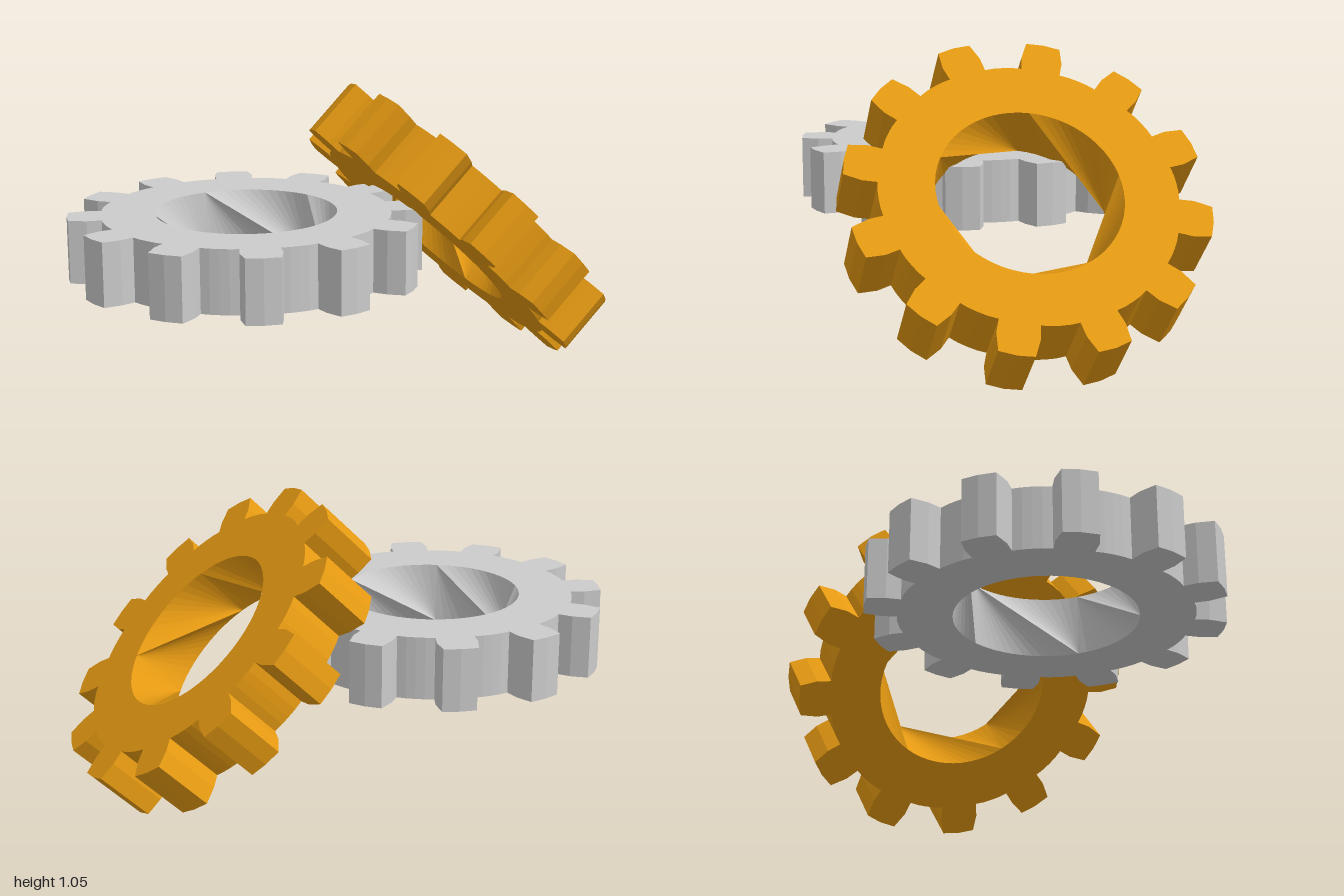
import * as THREE from 'three';

const TEETH = 12, HALF = 0.115, BORE = 0.328;
const BORE_SIDES = 5, BORE_STEPS = 12, BORE_START = 26;

const polar = (r, deg) => {
  const a = THREE.MathUtils.degToRad(deg);
  return new THREE.Vector2(r * Math.cos(a), r * Math.sin(a));
};

// Half of one tooth's profile: [radius, degrees from the tooth's centre line]
const toothHalf = [[0.522, -7.6], [0.575, -7.3], [0.638, -5.5]];

function gearOutline() {
  const pts = [];
  for (let i = 0; i < TEETH; i++) {
    const c = 15 + i * 360 / TEETH;
    toothHalf.forEach(([r, d]) => pts.push(polar(r, c + d)));
    pts.push(polar(0.641, c));
    [...toothHalf].reverse().forEach(([r, d]) => pts.push(polar(r, c - d)));
    // root arc between two teeth
    for (const d of [11.3, 15, 18.7]) pts.push(polar(0.524, c + d));
  }
  return pts;
}

// Gear lying flat, its axis along y
function gearGeometry() {
  const pos = [];
  const tri = (...corners) => corners.forEach(([p, z]) => pos.push(p.x, p.y, z));
  const outline = gearOutline();
  const n = BORE_SIDES * BORE_STEPS;
  const bore = Array.from({ length: n }, (_, i) => polar(BORE, BORE_START + i * 360 / n));

  // top and bottom faces with a round opening
  const hole = [...bore].reverse();
  const all = [...outline, ...hole];
  for (const [a, b, c] of THREE.ShapeUtils.triangulateShape(outline, [hole])) {
    tri([all[a], HALF], [all[b], HALF], [all[c], HALF]);
    tri([all[c], -HALF], [all[b], -HALF], [all[a], -HALF]);
  }

  // toothed rim
  outline.forEach((p, i) => {
    const q = outline[(i + 1) % outline.length];
    tri([p, -HALF], [q, -HALF], [q, HALF]);
    tri([p, -HALF], [q, HALF], [p, HALF]);
  });

  // bore wall: five faceted panels, each a pair of fans meeting on a diagonal
  for (let s = 0; s < BORE_SIDES; s++) {
    const first = bore[s * BORE_STEPS], last = bore[((s + 1) * BORE_STEPS) % n];
    for (let i = s * BORE_STEPS; i < (s + 1) * BORE_STEPS; i++) {
      const p = bore[i], q = bore[(i + 1) % n];
      if (q !== last || p !== first) {
        tri([q, -HALF], [p, -HALF], [last, HALF]);
        tri([first, -HALF], [p, HALF], [q, HALF]);
      }
    }
  }

  const g = new THREE.BufferGeometry();
  g.setAttribute('position', new THREE.Float32BufferAttribute(pos, 3));
  g.rotateX(-Math.PI / 2);
  g.computeVertexNormals();
  return g;
}

export function createModel() {
  const model = new THREE.Group();
  model.name = 'gearPair';
  const geometry = gearGeometry();

  const addGear = (name, color, x, tilt) => {
    const gear = new THREE.Mesh(geometry, new THREE.MeshStandardMaterial({ color, flatShading: true }));
    gear.name = name;
    gear.position.set(x, 0.53, 0);
    gear.rotation.z = tilt;
    model.add(gear);
  };
  addGear('flatGear', 0xcccccc, -0.37, 0);
  addGear('tiltedGear', 0xe69a12, 0.47, -Math.PI / 4);
  return model;
}
